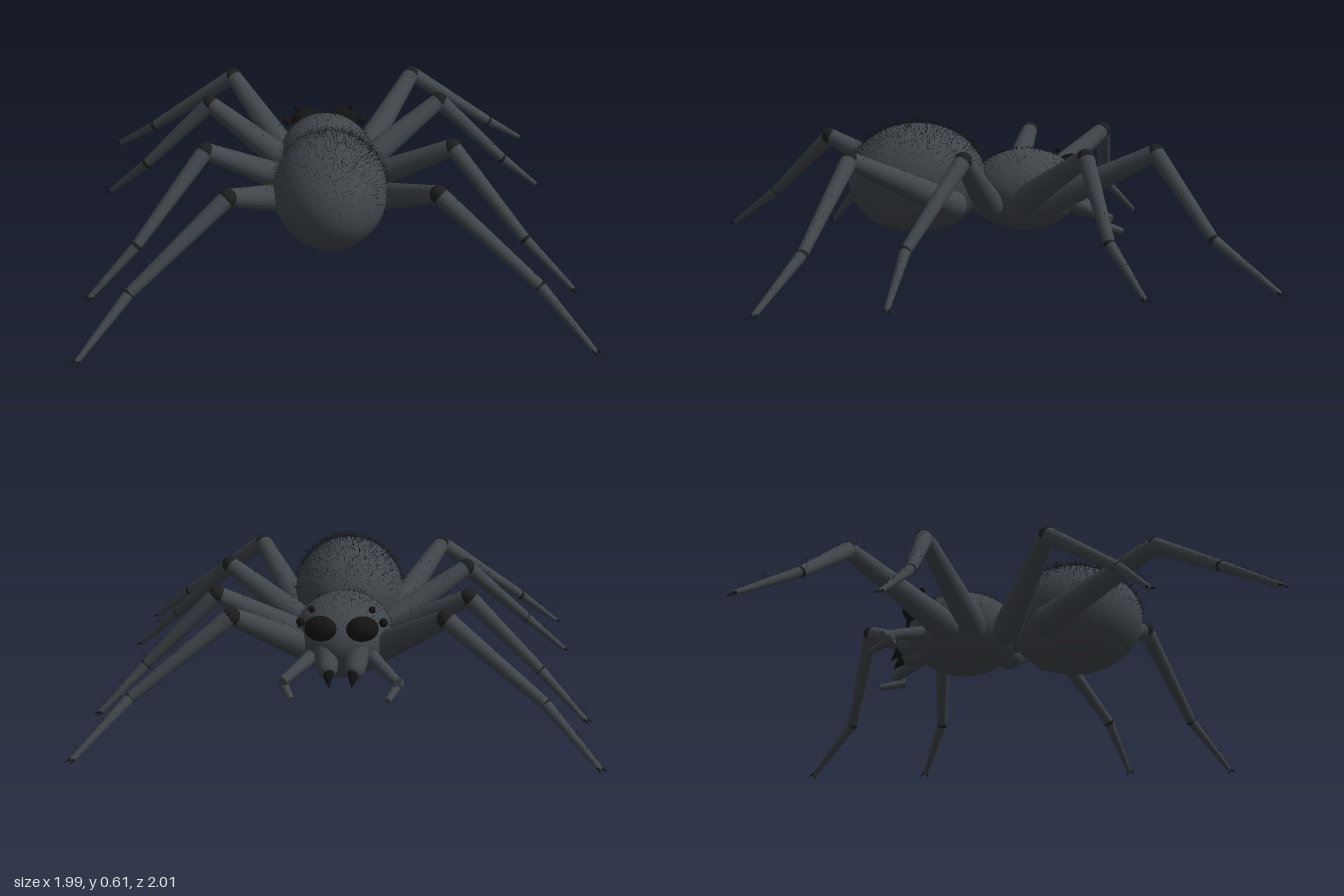
import * as THREE from 'three';

const V = (x, y, z) => new THREE.Vector3(x, y, z);
const UP = V(0, 1, 0);

function seeded(seed) {
  return () => {
    seed = (seed * 1664525 + 1013904223) % 4294967296;
    return seed / 4294967296;
  };
}

export function createModel() {
  const model = new THREE.Group();
  const rand = seeded(11);
  const mat = (name, color, side = THREE.FrontSide) =>
    Object.assign(new THREE.MeshStandardMaterial({ color, side }), { name });
  const body = mat('charcoal body', 0x41464b);
  const joint = mat('dark joint', 0x1d1e1f);
  const gloss = mat('black eye', 0x151414);
  const bristle = mat('black hair', 0x1c1c1d, THREE.DoubleSide);

  function add(parent, name, geometry, material) {
    const mesh = new THREE.Mesh(geometry, material);
    mesh.name = name;
    parent.add(mesh);
    return mesh;
  }

  function ellipsoid(parent, name, c, r, material, seg = 24) {
    const mesh = add(parent, name, new THREE.SphereGeometry(1, seg, Math.round(seg * 0.7)), material);
    mesh.position.copy(c);
    mesh.scale.copy(r);
    return mesh;
  }

  const ball = (parent, name, c, r, material, seg = 16) =>
    ellipsoid(parent, name, c, V(r, r, r), material, seg);

  // Tapered cylinder between two points
  function limb(parent, name, a, b, ra, rb, material, sides = 14) {
    const dir = b.clone().sub(a);
    const mesh = add(parent, name, new THREE.CylinderGeometry(rb, ra, dir.length(), sides), material);
    mesh.position.copy(a).add(b).multiplyScalar(0.5);
    mesh.quaternion.setFromUnitVectors(UP, dir.normalize());
  }

  // Collects thin three-sided spikes into one mesh
  function hairCoat(parent, name, list) {
    const pos = [];
    for (const { root, dir, length, width } of list) {
      const tip = root.clone().addScaledVector(dir, length);
      const u = V(dir.y, -dir.x, 0.3).cross(dir).normalize();
      const w = dir.clone().cross(u);
      const ring = [0, 1, 2].map(i => root.clone()
        .addScaledVector(u, width * Math.cos(i * 2.0944))
        .addScaledVector(w, width * Math.sin(i * 2.0944)));
      for (let i = 0; i < 3; i++) {
        for (const p of [ring[i], ring[(i + 1) % 3], tip]) pos.push(p.x, p.y, p.z);
      }
    }
    const g = new THREE.BufferGeometry();
    g.setAttribute('position', new THREE.Float32BufferAttribute(pos, 3));
    g.computeVertexNormals();
    add(parent, name, g, bristle);
  }

  // Hair over the upper part of an ellipsoid, thicker towards the top
  function bodyHair(name, c, r, count, length) {
    const list = [];
    while (list.length < count) {
      const y = rand() * 2 - 1, a = rand() * Math.PI * 2, s = Math.sqrt(1 - y * y);
      if (y < 0 || rand() > 0.15 + y * 1.2) continue;
      const n = V(s * Math.cos(a), y, s * Math.sin(a));
      const root = n.clone().multiply(r).add(c);
      const dir = n.divide(r).normalize()
        .add(V(rand() - 0.5, rand() - 0.5, rand() - 0.5).multiplyScalar(0.6)).normalize();
      list.push({ root, dir, length: length * (0.5 + rand() * 0.7), width: 0.0008 });
    }
    hairCoat(model, name, list);
  }

  // Abdomen, waist and head section
  const abdomenC = V(0, 0.36, 0.25), abdomenR = V(0.232, 0.23, 0.287);
  const thoraxC = V(0, 0.3, -0.215), thoraxR = V(0.198, 0.172, 0.235);
  ellipsoid(model, 'abdomen', abdomenC, abdomenR, body, 40);
  ellipsoid(model, 'cephalothorax', thoraxC, thoraxR, body, 36);
  ellipsoid(model, 'waist', V(0, 0.28, 0), V(0.07, 0.06, 0.08), body);
  bodyHair('abdomenHair', abdomenC, abdomenR, 1600, 0.034);
  bodyHair('cephalothoraxHair', thoraxC, thoraxR, 600, 0.017);

  // Hip, knee, ankle and tip of each leg on the +x side
  const legs = [
    [V(0.15, 0.26, -0.27), V(0.405, 0.495, -0.66), V(0.78, 0.205, -0.78), V(0.965, 0.03, -0.975)],
    [V(0.13, 0.26, -0.16), V(0.5, 0.495, -0.345), V(0.79, 0.205, -0.365), V(0.965, 0.03, -0.45)],
    [V(0.13, 0.26, -0.03), V(0.505, 0.495, 0.145), V(0.78, 0.205, 0.41), V(0.965, 0.03, 0.505)],
    [V(0.18, 0.27, 0.13), V(0.405, 0.495, 0.575), V(0.78, 0.205, 0.79), V(0.965, 0.03, 0.975)],
  ];

  for (const side of [1, -1]) {
    const label = side > 0 ? 'left' : 'right';
    const at = (x, y, z) => V(x * side, y, z);

    legs.forEach((points, i) => {
      const [hip, knee, ankle, tip] = points.map(p => at(p.x, p.y, p.z));
      const leg = new THREE.Group();
      leg.name = `${label}Leg${i + 1}`;
      model.add(leg);
      ball(leg, 'hip', hip, 0.06, body);
      limb(leg, 'femur', hip, knee, 0.061, 0.035, body);
      ball(leg, 'knee', knee, 0.0365, joint);
      limb(leg, 'tibia', knee, ankle, 0.035, 0.022, body);
      ball(leg, 'ankle', ankle, 0.0227, joint);
      limb(leg, 'tarsus', ankle, tip, 0.022, 0.011, body);
      ball(leg, 'foot', tip, 0.011, body, 10);

      // Two small claws at the foot
      const out = tip.clone().sub(ankle).setY(0).normalize();
      const across = V(-out.z, 0, out.x);
      for (const s of [1, -1]) {
        const start = tip.clone().addScaledVector(across, s * 0.007);
        const end = start.clone().addScaledVector(out, 0.026).addScaledVector(across, s * 0.011);
        end.y -= 0.012;
        limb(leg, 'claw', start, end, 0.006, 0.0005, gloss, 6);
      }

      // Sparse bristles along the upper faces
      const list = [];
      const segments = [[hip, knee, 0.061, 0.035, 20], [knee, ankle, 0.035, 0.022, 18], [ankle, tip, 0.022, 0.011, 22]];
      for (const [a, b, ra, rb, n] of segments) {
        const along = b.clone().sub(a).normalize();
        const flat = along.clone().cross(UP).normalize();
        const top = flat.clone().cross(along);
        for (let k = 0; k < n; k++) {
          const t = 0.1 + rand() * 0.9, ang = (rand() - 0.5) * 2;
          const dir = top.clone().multiplyScalar(Math.cos(ang)).addScaledVector(flat, Math.sin(ang));
          const root = a.clone().lerp(b, t).addScaledVector(dir, (ra + (rb - ra) * t) * 0.97);
          dir.addScaledVector(along, (rand() - 0.5) * 0.6).normalize();
          list.push({ root, dir, length: 0.012 + rand() * 0.026, width: 0.0008 });
        }
      }
      hairCoat(leg, 'legBristles', list);
    });

    // Large front eye and small side eyes
    ellipsoid(model, `${label}MainEye`, at(0.083, 0.382, -0.425), V(0.065, 0.051, 0.044), gloss)
      .rotation.y = -side * 0.2;
    ball(model, `${label}SideEye`, at(0.165, 0.395, -0.378), 0.018, gloss);
    ball(model, `${label}UpperEye`, at(0.12, 0.45, -0.385), 0.014, gloss);

    // Jaw and fang
    limb(model, `${label}Jaw`, at(0.06, 0.28, -0.39), at(0.055, 0.225, -0.45), 0.054, 0.042, body);
    ball(model, `${label}JawTip`, at(0.055, 0.225, -0.45), 0.042, body);
    limb(model, `${label}Fang`, at(0.05, 0.215, -0.47), at(0.045, 0.165, -0.512), 0.027, 0.001, gloss);

    // Feeler
    limb(model, `${label}FeelerBase`, at(0.11, 0.26, -0.37), at(0.225, 0.195, -0.53), 0.03, 0.02, body);
    ball(model, `${label}FeelerJoint`, at(0.228, 0.183, -0.5), 0.022, body);
    limb(model, `${label}FeelerTip`, at(0.23, 0.178, -0.485), at(0.188, 0.14, -0.585), 0.019, 0.013, body);
  }

  return model;
}
